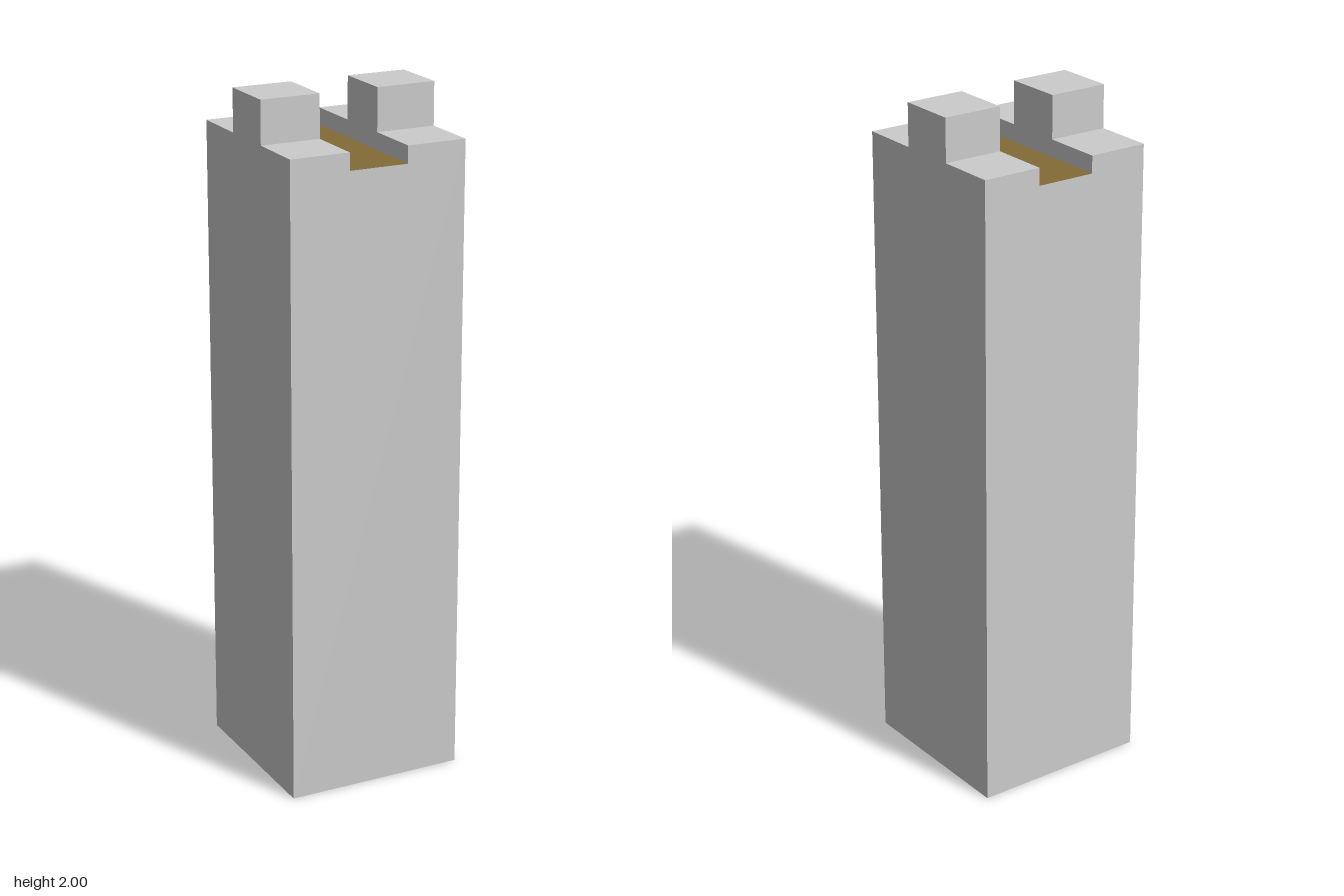
import * as THREE from 'three';

const R = 0.265;        // half width of the tower
const N = 0.088;        // half width of the channel and of the merlons
const FLOOR = 1.825, SHOULDER = 1.875, TOP = 2;

const stone = new THREE.MeshStandardMaterial({ color: 0xcccccc });
const wood = new THREE.MeshStandardMaterial({ color: 0x846b37 });

function outline(points) {
  return new THREE.ShapeGeometry(new THREE.Shape(points.map(([x, y]) => new THREE.Vector2(x, y))));
}

// Wall outline with a raised middle, from the given base up to the merlon top
function merlonOutline(base) {
  return outline([[-R, base], [R, base], [R, SHOULDER], [N, SHOULDER],
    [N, TOP], [-N, TOP], [-N, SHOULDER], [-R, SHOULDER]]);
}

function add(parent, name, geometry, material = stone) {
  const mesh = new THREE.Mesh(geometry, material);
  mesh.name = name;
  parent.add(mesh);
  return mesh;
}

// Horizontal panel; facing +1 looks up, -1 looks down
function level(parent, name, width, depth, x, y, z, facing = 1, material = stone) {
  const panel = add(parent, name, new THREE.PlaneGeometry(width, depth), material);
  panel.rotation.x = -facing * Math.PI / 2;
  panel.position.set(x, y, z);
}

// One end wall with one long side; two of these turned half round close the tower
function createHalf() {
  const half = new THREE.Group();
  const midX = (R + N) / 2, wide = R - N;

  // End wall, notched by the channel
  add(half, 'endWall', outline([[-R, 0], [R, 0], [R, SHOULDER], [N, SHOULDER],
    [N, FLOOR], [-N, FLOOR], [-N, SHOULDER], [-R, SHOULDER]])).position.z = R;

  // Outer side wall and the matching inner channel wall
  const side = add(half, 'sideWall', merlonOutline(0));
  side.rotation.y = Math.PI / 2;
  side.position.x = R;
  const inner = add(half, 'channelWall', merlonOutline(FLOOR));
  inner.rotation.y = -Math.PI / 2;
  inner.position.x = N;

  // Merlon top, its two end faces and the shoulders beside it
  level(half, 'merlonTop', wide, 2 * N, midX, TOP, 0);
  for (const s of [1, -1]) {
    const face = add(half, 'merlonFace', new THREE.PlaneGeometry(wide, TOP - SHOULDER));
    face.rotation.y = s > 0 ? 0 : Math.PI;
    face.position.set(midX, (TOP + SHOULDER) / 2, s * N);
    level(half, 'shoulder', wide, R - N, midX, SHOULDER, s * midX);
  }
  return half;
}

export function createModel() {
  const tower = new THREE.Group();
  tower.name = 'tower';
  ['frontLeftHalf', 'backRightHalf'].forEach((name, i) => {
    const half = createHalf();
    half.name = name;
    half.rotation.y = i * Math.PI;
    tower.add(half);
  });

  // Coloured channel floor and the underside
  level(tower, 'channelFloor', 2 * N, 2 * R, 0, FLOOR, 0, 1, wood);
  level(tower, 'base', 2 * R, 2 * R, 0, 0, 0, -1);
  return tower;
}
